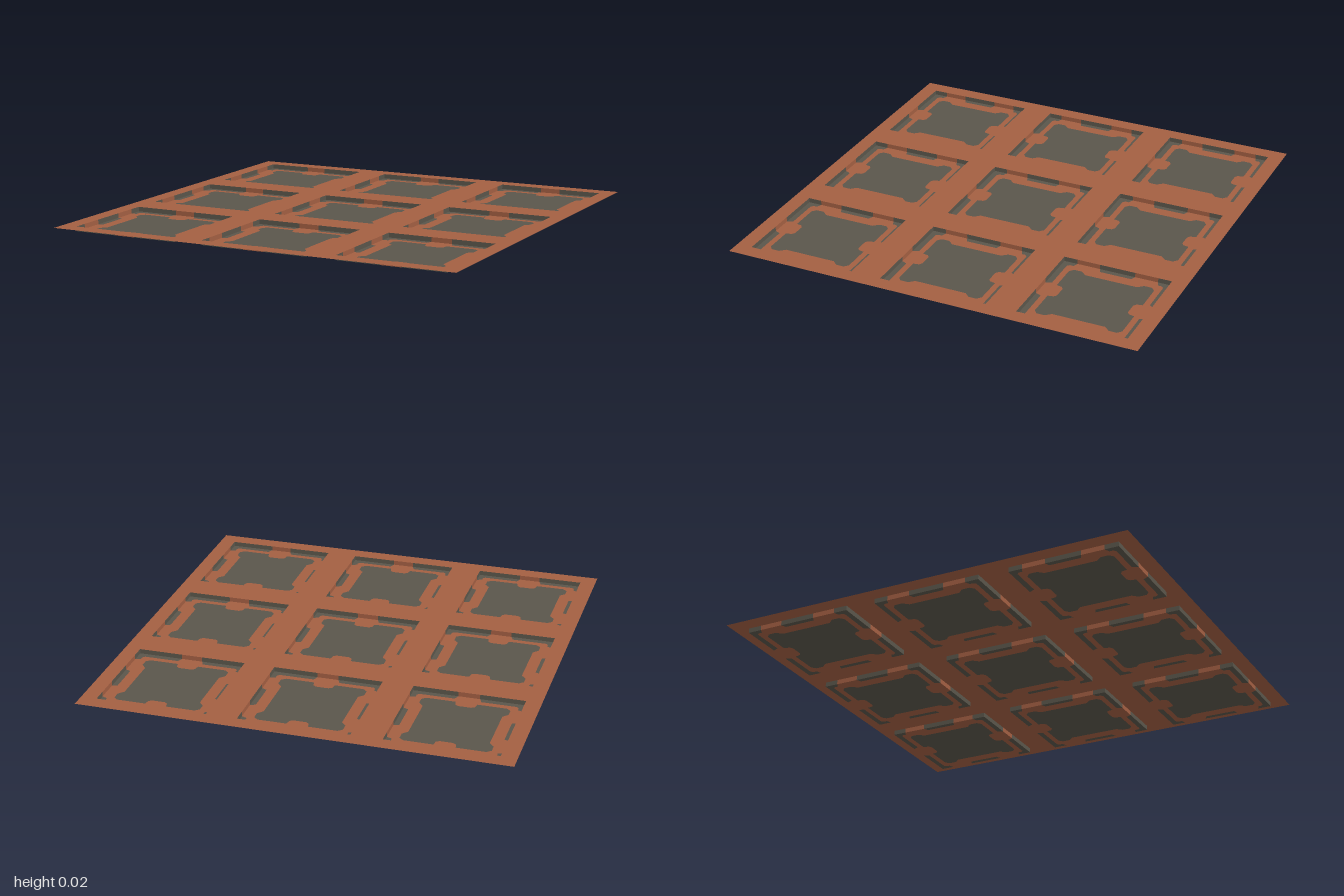
import * as THREE from 'three';
import { mergeGeometries } from 'three/addons/utils/BufferGeometryUtils.js';

const DEPTH = 0.022; // drop from the sheet to the tray floors
const HALF = 0.26; // half width of a tray
const PITCH = 0.666;

const points = (list) => list.map(([x, y]) => new THREE.Vector2(x, y));

// Mirror a quarter outline (from the vertical to the horizontal axis) into a closed loop
function fourFold(q) {
  const r = [...q].reverse();
  return points([
    ...q,
    ...r.map(([x, y]) => [x, -y]),
    ...q.map(([x, y]) => [-x, -y]),
    ...r.map(([x, y]) => [-x, y]),
  ]);
}

// Lay shapes flat, facing up
const flat = (shapes, y) => new THREE.ShapeGeometry(shapes).rotateX(-Math.PI / 2).translate(0, y, 0);

// One upright strip of tray wall, from a to b, on the side turned by angle
function wallStrip(a, b, angle) {
  return new THREE.PlaneGeometry(b - a, DEPTH)
    .translate((a + b) / 2, DEPTH / 2, -HALF)
    .rotateY(angle);
}

export function createModel() {
  const rust = new THREE.MeshStandardMaterial({ color: 0xa35f42, side: THREE.DoubleSide });
  rust.name = 'rust';
  const slate = new THREE.MeshStandardMaterial({ color: 0x5a564b, side: THREE.DoubleSide });
  slate.name = 'slate';

  const model = new THREE.Group();
  model.name = 'panel';
  const add = (parent, geometry, material, name) => {
    const mesh = new THREE.Mesh(geometry, material);
    mesh.name = name;
    parent.add(mesh);
  };

  // Thin top sheet with nine square openings
  const sheet = new THREE.Shape(fourFold([[1, 1]]));
  const cells = [];
  for (const i of [-1, 0, 1]) for (const j of [-1, 0, 1]) cells.push([i * PITCH, j * PITCH]);
  for (const [x, z] of cells) {
    const opening = fourFold([[HALF, HALF]]).map((p) => p.add(new THREE.Vector2(x, z)));
    sheet.holes.push(new THREE.Path(opening));
  }
  add(model, flat(sheet, DEPTH), rust, 'sheet');

  // Floor pattern: notched rust frame around a slate centre
  const centreLoop = fourFold([
    [0.03, 0.168], [0.045, 0.178], [0.05, 0.205], [0.185, 0.205],
    [0.205, 0.188], [0.205, 0.15], [0.182, 0.125], [0.182, 0.085],
  ]);
  const frame = new THREE.Shape(fourFold([
    [0.05, 0.26], [0.062, 0.233], [0.225, 0.233], [0.235, 0.222], [0.235, 0.205],
    [0.26, 0.195], [0.26, 0.085], [0.236, 0.075],
  ]));
  frame.holes.push(new THREE.Path(centreLoop));

  // Slate pieces along the floor's border: four corners and two side bars
  const border = [];
  for (const sx of [-1, 1]) {
    for (const sy of [-1, 1]) {
      const corner = [
        [0.05, 0.26], [0.062, 0.233], [0.225, 0.233], [0.235, 0.222],
        [0.235, 0.205], [0.26, 0.195], [0.26, 0.26],
      ];
      border.push(new THREE.Shape(points(corner.map(([x, y]) => [x * sx, y * sy]))));
    }
    const bar = [[0.26, 0.085], [0.236, 0.075], [0.236, -0.075], [0.26, -0.085]];
    border.push(new THREE.Shape(points(bar.map(([x, y]) => [x * sx, y]))));
  }

  // Walls continue the colours of the floor's border
  const rustWalls = [];
  const slateWalls = [];
  for (const turn of [0, 1, 2, 3]) {
    const cuts = turn % 2
      ? [-HALF, -0.195, -0.085, 0.085, 0.195, HALF]
      : [-HALF, -0.05, 0.05, HALF];
    for (let k = 0; k + 1 < cuts.length; k++) {
      (k % 2 ? rustWalls : slateWalls).push(wallStrip(cuts[k], cuts[k + 1], (turn * Math.PI) / 2));
    }
  }

  const parts = [
    [flat(frame, 0), rust, 'floorFrame'],
    [flat(new THREE.Shape(centreLoop), 0), slate, 'floorCentre'],
    [flat(border, 0), slate, 'floorBorder'],
    [mergeGeometries(rustWalls), rust, 'rustWalls'],
    [mergeGeometries(slateWalls), slate, 'slateWalls'],
  ];

  // Nine recessed trays
  for (const [x, z] of cells) {
    const tray = new THREE.Group();
    tray.name = 'tray';
    tray.position.set(x, 0, z);
    for (const [geometry, material, name] of parts) add(tray, geometry, material, name);
    model.add(tray);
  }
  return model;
}
